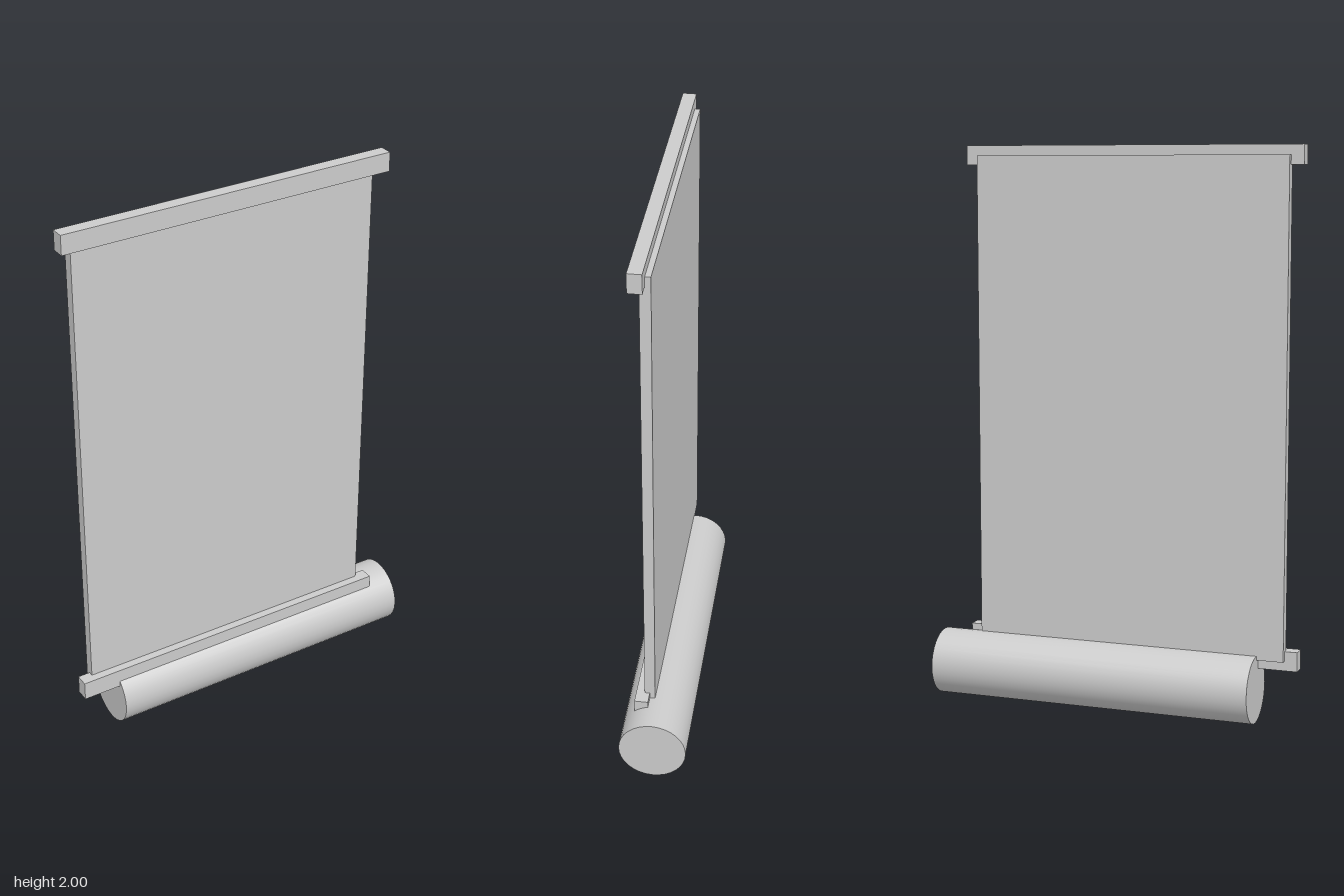
import * as THREE from 'three';

const material = new THREE.MeshStandardMaterial({ color: 0xcccccc });

// Box given by its extents along x, y and z
function slab(name, [x0, x1], [y0, y1], [z0, z1]) {
  const mesh = new THREE.Mesh(new THREE.BoxGeometry(x1 - x0, y1 - y0, z1 - z0), material);
  mesh.position.set((x0 + x1) / 2, (y0 + y1) / 2, (z0 + z1) / 2);
  mesh.name = name;
  return mesh;
}

export function createModel() {
  const group = new THREE.Group();
  group.name = 'rollScreen';

  // Hanging sheet, its ends set halfway up the rails
  group.add(slab('sheet', [-0.621, 0.521], [0.223, 1.965], [0.009, 0.046]));

  // Top and bottom rails
  const railX = [-0.666, 0.568], railZ = [0.028, 0.076];
  group.add(slab('topRail', railX, [1.931, 2], railZ));
  group.add(slab('bottomRail', railX, [0.189, 0.258], railZ));

  // Roller case lying along x, offset towards the left
  const radius = 0.119, x0 = -0.526, x1 = 0.664;
  const roller = new THREE.Mesh(new THREE.CylinderGeometry(radius, radius, x1 - x0, 32), material);
  roller.rotation.z = Math.PI / 2;
  roller.position.set((x0 + x1) / 2, radius, 0);
  roller.name = 'rollerCase';
  group.add(roller);

  return group;
}
